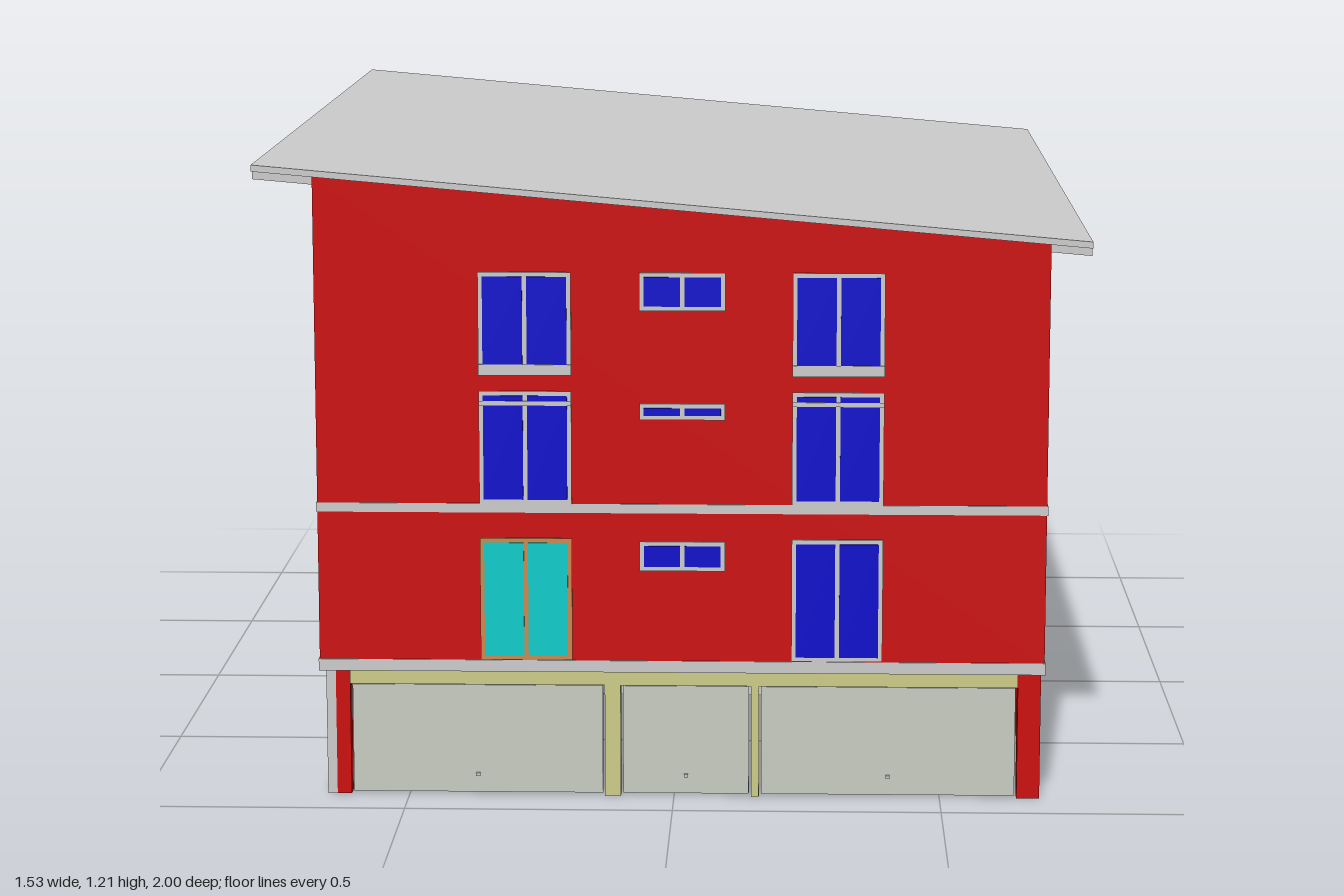
import * as THREE from 'three';

const mat = (color) => new THREE.MeshStandardMaterial({ color });
const GREY = mat(0xcccccc), RED = mat(0xcc0a0a), BLUE = mat(0x0a0acc), TEAL = mat(0x0acccc);
const YELLOW = mat(0xcccc88), DOOR = mat(0xc8ccc0), ORANGE = mat(0xcc8850);
const X0 = -0.655, X1 = 0.688, Z0 = -0.99, Z1 = 0.99, DEPTH = 0.14;
const roofY = (x) => 1.205 - (x + 0.765) * 0.0884;

// Box given by its limits
function box(parent, name, m, x0, x1, y0, y1, z0, z1) {
  const mesh = new THREE.Mesh(new THREE.BoxGeometry(x1 - x0, y1 - y0, z1 - z0), m);
  mesh.position.set((x0 + x1) / 2, (y0 + y1) / 2, (z0 + z1) / 2);
  mesh.name = name;
  parent.add(mesh);
  return mesh;
}

// Box that follows the roof slope, with its top 'drop' below the roof surface
function slopedBox(parent, name, m, x0, x1, drop, thick, z0, z1) {
  const geo = new THREE.BoxGeometry(x1 - x0, thick, z1 - z0);
  geo.translate((x0 + x1) / 2, -drop - thick / 2, (z0 + z1) / 2);
  const p = geo.attributes.position;
  for (let i = 0; i < p.count; i++) p.setY(i, p.getY(i) + roofY(p.getX(i)));
  geo.computeVertexNormals();
  const mesh = new THREE.Mesh(geo, m);
  mesh.name = name;
  parent.add(mesh);
}

// Framed window on a facade whose outside is local +z
function windowUnit(face, u0, u1, y0, y1, panes, glass = BLUE, frame = GREY) {
  const g = new THREE.Group();
  g.name = 'window';
  const t = 0.008, w = (u1 - u0 - t) / panes;
  box(g, 'windowFrame', frame, u0, u1, y0, y1, -0.01, 0.003);
  for (let i = 0; i < panes; i++)
    box(g, 'pane', glass, u0 + t + i * w, u0 + (i + 1) * w, y0 + t, y1 - t, -0.008, 0.005);
  face.add(g);
}

function facade(parent, name, angle, x, z) {
  const g = new THREE.Group();
  g.name = name;
  g.rotation.y = angle;
  g.position.set(x, 0, z);
  parent.add(g);
  return g;
}

function vent(face, u0, u1) {
  box(face, 'ventFrame', ORANGE, u0, u1, 0.195, 0.258, -0.01, 0.006);
  box(face, 'vent', TEAL, u0 + 0.006, u1 - 0.006, 0.2, 0.252, -0.01, 0.009);
}

export function createModel() {
  const root = new THREE.Group();
  root.name = 'apartmentBlock';

  // Upper walls: plan with two balcony recesses, top cut to the roof slope
  const plan = new THREE.Shape();
  const outline = [[X0, Z1], [X1, Z1], [X1, Z0], [X0, Z0]];
  for (const [a, b] of [[-0.55, -0.15], [0.15, 0.56]])
    outline.push([X0, a], [X0 + DEPTH, a], [X0 + DEPTH, b], [X0, b]);
  plan.setFromPoints(outline.map(([x, z]) => new THREE.Vector2(x, -z)));
  const geo = new THREE.ExtrudeGeometry(plan, { depth: 1, bevelEnabled: false });
  geo.rotateX(-Math.PI / 2);
  const p = geo.attributes.position;
  for (let i = 0; i < p.count; i++) p.setY(i, p.getY(i) > 0.5 ? roofY(p.getX(i)) - 0.012 : 0.28);
  geo.computeVertexNormals();
  const walls = new THREE.Mesh(geo, RED);
  walls.name = 'upperWalls';
  root.add(walls);

  // Floor slabs, which also form the balcony floors
  const e = 0.002;
  for (const [y0, y1] of [[0.262, 0.284], [0.563, 0.58]])
    box(root, 'floorSlab', GREY, X0 - e, X1 + e, y0, y1, Z0 - e, Z1 + e);
  for (const [a, b] of [[-0.55, -0.15], [0.15, 0.56]])
    box(root, 'balconyFloor', GREY, X0, X0 + DEPTH + 0.01, 0.82, 0.84, a, b);

  // Roof plate and rafters
  slopedBox(root, 'roof', GREY, -0.765, 0.763, 0, 0.012, -0.992, 0.996);
  for (let i = 0; i < 26; i++) {
    const z = -0.965 + i * 0.0772;
    slopedBox(root, 'rafter', GREY, -0.765, 0.763, 0.012, 0.016, z - 0.013, z + 0.013);
  }

  // Storeys: full-height windows
  const storeys = [[0.285, 0.515], [0.58, 0.79], [0.83, 1.01]];

  // Front facade
  const front = facade(root, 'frontFacade', 0, 0, Z1);
  for (const [u0, u1] of [[-0.355, -0.185], [0.22, 0.388]]) {
    storeys.forEach(([y0, y1], i) => {
      const isDoor = i === 0 && u0 < 0;
      windowUnit(front, u0, u1, y0, y1, 2, isDoor ? TEAL : BLUE, isDoor ? ORANGE : GREY);
    });
    box(front, 'transom', GREY, u0, u1, 0.764, 0.772, 0, 0.006);
    box(front, 'sill', GREY, u0, u1, 0.82, 0.84, 0, 0.006);
  }
  for (const [y0, y1] of [[0.455, 0.51], [0.738, 0.768], [0.94, 1.01]])
    windowUnit(front, -0.06, 0.097, y0, y1, 2);

  // Back facade (local x runs towards -x)
  const back = facade(root, 'backFacade', Math.PI, 0, Z0);
  for (const [u0, u1] of [[-0.335, -0.28], [0.24, 0.295]])
    for (const [y0, y1] of storeys) windowUnit(back, u0, u1, y0, y1, 1);
  for (const [y0, y1] of [[0.455, 0.51], [0.738, 0.775], [0.915, 1.03]])
    windowUnit(back, -0.097, 0.064, y0, y1, 2);
  vent(back, 0.125, 0.18);
  vent(back, 0.26, 0.312);

  // Right facade (local x runs towards -z)
  const right = facade(root, 'rightFacade', Math.PI / 2, X1, 0);
  for (const [y0, y1] of storeys) windowUnit(right, -0.711, -0.647, y0, y1, 1);
  for (const [y0, y1] of [[0.285, 0.515], [0.58, 0.765]]) {
    windowUnit(right, -0.487, -0.23, y0, y1, 3);
    windowUnit(right, 0.215, 0.472, y0, y1, 3);
    windowUnit(right, 0.69, 0.86, y0, y1, 2);
  }
  for (const [y0, y1] of [[0.38, 0.51], [0.655, 0.765], [0.86, 0.99]])
    windowUnit(right, -0.07, 0.06, y0, y1, 1);
  for (const u of [-0.705, -0.03, 0.485]) vent(right, u, u + 0.058);

  // Left facade (local x runs towards +z)
  const left = facade(root, 'leftFacade', -Math.PI / 2, X0, 0);
  const loggia = facade(root, 'balconyFacade', -Math.PI / 2, X0 + DEPTH, 0);
  for (const [y0, y1] of storeys) {
    windowUnit(left, -0.86, -0.7, y0, y1, 2);
    windowUnit(left, 0.647, 0.711, y0, y1, 1);
    windowUnit(loggia, -0.472, -0.215, y0, y1, 3);
    windowUnit(loggia, 0.23, 0.487, y0, y1, 3);
  }
  for (const [y0, y1] of [[0.56, 0.68], [0.81, 0.92]]) windowUnit(left, -0.06, 0.07, y0, y1, 1);
  windowUnit(left, -0.095, 0.1, 0.2, 0.43, 2);
  for (const u of [-0.54, 0.645]) vent(left, u, u + 0.058);

  // Basement outer walls, open underneath
  const base = new THREE.Group();
  base.name = 'basement';
  root.add(base);
  const H = 0.264, T = 0.018;
  box(base, 'rightWall', RED, X1 - T, X1, 0, H, Z0, 0.9);
  box(base, 'backWall', RED, X0, X1, 0, H, Z0, Z0 + T);
  box(base, 'leftBackWall', RED, X0, X0 + T, 0, H, Z0, -0.1);
  box(base, 'leftFrontWall', GREY, X0, X0 + T, 0, H, 0.11, 0.9);
  box(base, 'frontPierRight', RED, 0.645, X1, 0, H, 0.87, 0.9);
  box(base, 'frontPierLeft', RED, X0 + T, -0.61, 0, H, 0.87, 0.9);

  // Entrance recess
  for (const z of [-0.112, 0.11]) box(base, 'entranceSide', GREY, X0 + T, -0.5, 0, H, z, z + 0.012);
  box(base, 'entranceWall', GREY, -0.515, -0.5, 0, H, -0.1, 0.11);
  box(base, 'entranceDoor', DOOR, -0.522, -0.512, 0, 0.2, -0.05, 0.06);
  box(base, 'entrancePost', GREY, X0, X0 + 0.015, 0, 0.2, 0.0, 0.015);

  // Garage front
  box(base, 'garageLintel', YELLOW, -0.61, 0.645, 0.215, H, 0.87, 0.905);
  for (const [a, b] of [[-0.13, -0.1], [0.145, 0.16]])
    box(base, 'garagePost', YELLOW, a, b, 0, 0.22, 0.87, 0.905);
  for (const [a, b] of [[-0.61, -0.13], [-0.1, 0.145], [0.16, 0.645]]) {
    box(base, 'garageDoor', DOOR, a + 0.004, b - 0.004, 0.004, 0.212, 0.88, 0.896);
    box(base, 'garageHandle', GREY, (a + b) / 2 - 0.004, (a + b) / 2 + 0.004, 0.036, 0.042, 0.896, 0.902);
  }

  // Basement partitions and columns
  box(base, 'corridorWall', GREY, -0.5, X1 - T, 0, H, -0.06, -0.045);
  box(base, 'storeWall', GREY, -0.5, X1 - T, 0, H, 0.12, 0.135);
  for (const x of [0.44, 0.18, -0.1]) box(base, 'storePartition', GREY, x, x + 0.012, 0, H, 0.13, 0.47);
  box(base, 'stairWall', GREY, -0.2, -0.188, 0, H, -0.45, -0.05);
  for (const [x, z, m] of [[0.25, -0.55, GREY], [0.05, -0.6, TEAL]]) {
    const c = new THREE.Mesh(new THREE.CylinderGeometry(0.014, 0.014, H, 12), m);
    c.position.set(x, H / 2, z);
    c.name = 'column';
    base.add(c);
  }
  return root;
}
